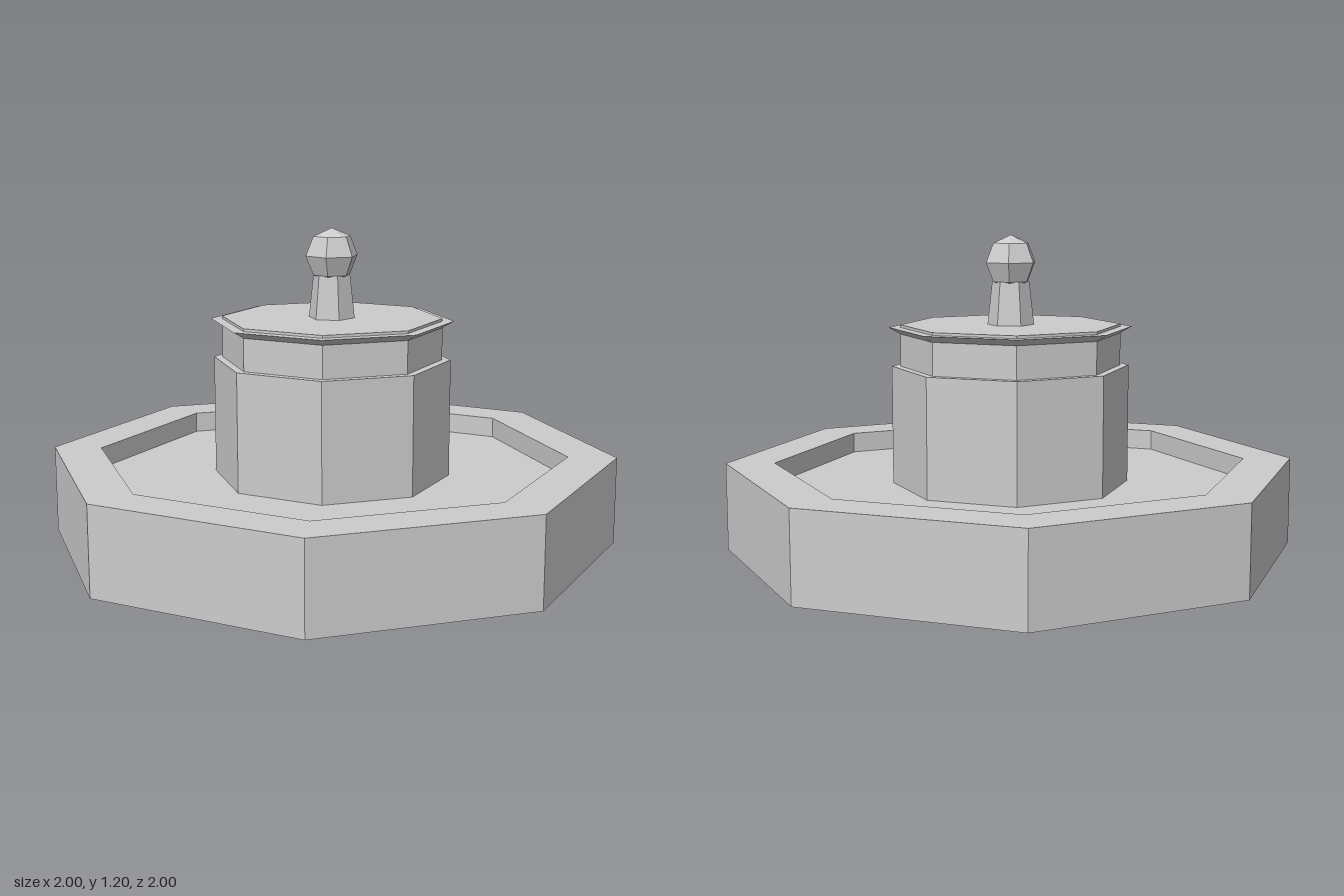
import * as THREE from 'three';

const stone = new THREE.MeshStandardMaterial({ color: 0xcccccc, flatShading: true, side: THREE.DoubleSide });
stone.name = 'stone';

export function createModel() {
  const group = new THREE.Group();
  group.name = 'fountain';

  function add(name, geometry, y = 0) {
    const flat = geometry.toNonIndexed();
    flat.computeVertexNormals();
    const mesh = new THREE.Mesh(flat, stone);
    mesh.name = name;
    mesh.position.y = y;
    group.add(mesh);
  }

  // Octagonal shell with flats on the axes; profile is [distance to flat, height]
  function octagon(name, profile) {
    const points = profile.map(([a, y]) => new THREE.Vector2(a / Math.cos(Math.PI / 8), y));
    add(name, new THREE.LatheGeometry(points, 8, Math.PI / 8));
  }

  // Basin: outer wall, flat rim and inner wall, open underneath
  octagon('basinWall', [[1, 0], [1, 0.335], [0.83, 0.335], [0.83, 0]]);
  // Pool floor with its skirt
  octagon('poolFloor', [[0.815, 0], [0.815, 0.25], [0.83, 0.255], [0, 0.255]]);
  // Open pipe below the floor
  octagon('supplyPipe', [[0.212, 0], [0.212, 0.255]]);

  // Central pedestal with its narrower neck
  octagon('pedestal', [[0.415, 0.255], [0.415, 0.703], [0.385, 0.703], [0.385, 0.825]]);
  // Flared cap with a slightly raised top
  octagon('pedestalCap', [[0.385, 0.825], [0.425, 0.85], [0.385, 0.85], [0.385, 0.86], [0, 0.86]]);

  // Hexagonal finial
  add('finialPost', new THREE.CylinderGeometry(0.07, 0.088, 0.163, 6), 0.9415);
  add('finialBall', new THREE.SphereGeometry(0.102, 6, 4), 1.094);

  return group;
}
